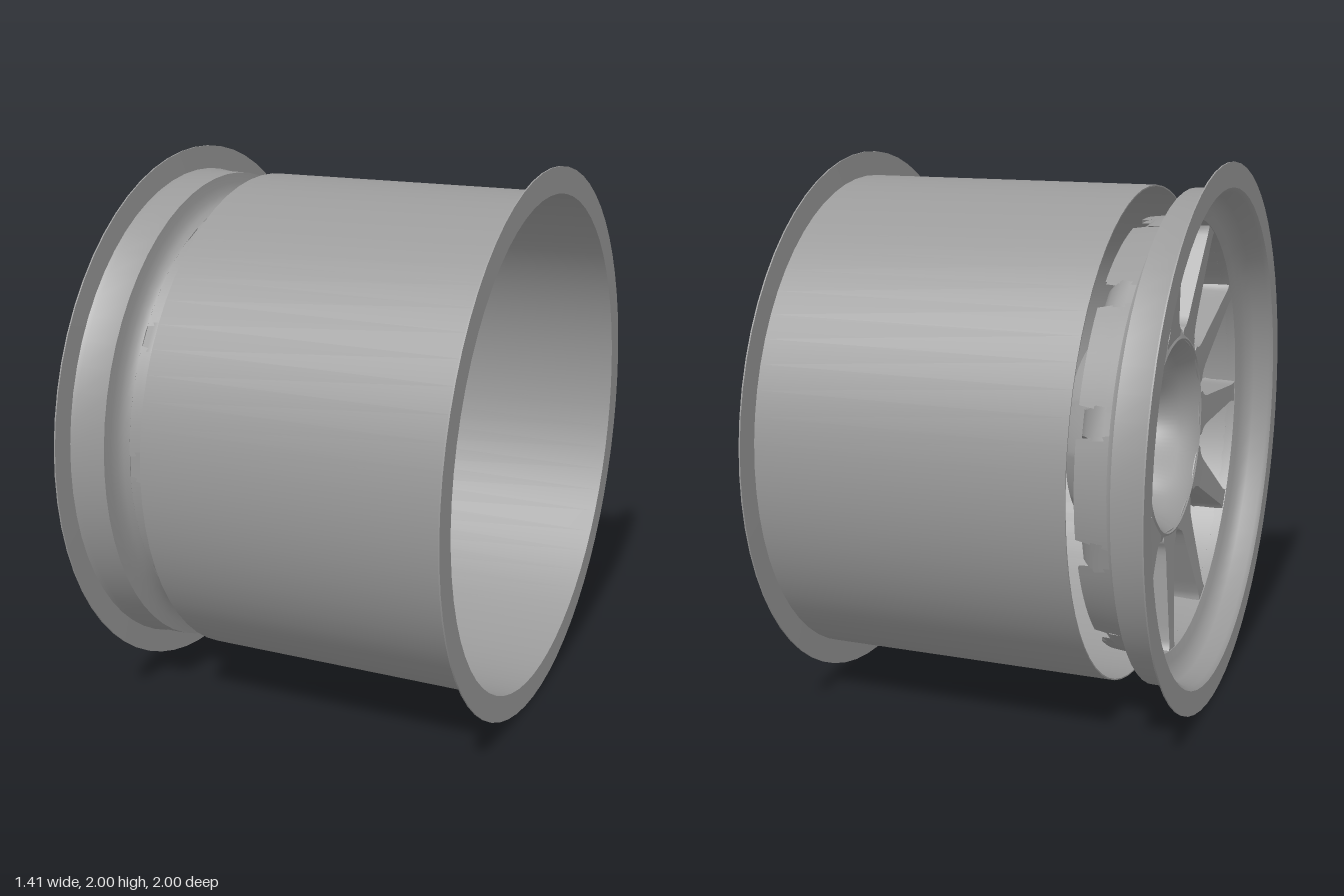
import * as THREE from 'three';
import { toCreasedNormals } from 'three/addons/utils/BufferGeometryUtils.js';

const SPOKES = 11, BOLTS = 5;
const PITCH = 2 * Math.PI / SPOKES;
const mat = new THREE.MeshStandardMaterial({ color: 0x9a9a9a, side: THREE.DoubleSide });

function add(parent, name, geometry) {
  const mesh = new THREE.Mesh(geometry, mat);
  mesh.name = name;
  parent.add(mesh);
  return mesh;
}

// Lathe about the x axis; profile points are [radius, x].
// The rule may return a new [radius, angle] for each vertex.
function turned(profile, segments, rule, start = 0, length = 2 * Math.PI) {
  const points = profile.map(([r, x]) => new THREE.Vector2(r, x));
  const g = new THREE.LatheGeometry(points, segments, start, length);
  g.rotateZ(-Math.PI / 2);
  if (rule) {
    const p = g.attributes.position;
    for (let i = 0; i < p.count; i++) {
      const x = p.getX(i), y = p.getY(i), z = p.getZ(i);
      const [r, a] = rule(Math.hypot(y, z), Math.atan2(y, z), x);
      p.setXYZ(i, x, r * Math.sin(a), r * Math.cos(a));
    }
  }
  return toCreasedNormals(g, 0.7);
}

// Linear interpolation through [position, value] pairs
function sample(table, t) {
  for (let i = 1; i < table.length; i++) {
    const [a, va] = table[i - 1], [b, vb] = table[i];
    if (t <= b) return THREE.MathUtils.mapLinear(t, a, b, va, vb);
  }
  return table[table.length - 1][1];
}

// Tapered spoke along +z, flared into the hub and the rim
function spokeGeometry() {
  const stations = [0.35, 0.375, 0.39, 0.4, 0.415, 0.44, 0.5, 0.6, 0.7, 0.76, 0.785, 0.805];
  const halfWidth = [[0.35, 0.1], [0.375, 0.11], [0.39, 0.105], [0.4, 0.09], [0.415, 0.08],
    [0.44, 0.072], [0.76, 0.042], [0.785, 0.045], [0.805, 0.058]];
  const front = [[0.35, -0.535], [0.5, -0.545], [0.75, -0.565], [0.805, -0.57]];
  const back = [[0.35, -0.33], [0.5, -0.36], [0.7, -0.4], [0.76, -0.42], [0.785, -0.44], [0.805, -0.47]];
  const g = new THREE.BoxGeometry(1, 1, 1, 3, 1, stations.length - 1);
  const p = g.attributes.position;
  for (let i = 0; i < p.count; i++) {
    const depth = p.getX(i) + 0.5;
    const r = stations[Math.round((p.getZ(i) + 0.5) * (stations.length - 1))];
    const x = THREE.MathUtils.lerp(sample(front, r), sample(back, r), depth);
    const y = Math.sign(p.getY(i)) * sample(halfWidth, r) * (0.8 + 0.2 * depth);
    p.setXYZ(i, x, y, r);
  }
  return toCreasedNormals(g, 0.7);
}

export function createModel() {
  const model = new THREE.Group();
  model.name = 'wheel';
  const wheel = new THREE.Group();
  wheel.name = 'wheelParts';
  wheel.position.y = 1;
  model.add(wheel);

  // Wide thin barrel with its end flange
  add(wheel, 'barrel', turned([
    [0.905, -0.42], [0.91, -0.42], [0.91, 0.698], [1, 0.7],
    [1, 0.705], [0.905, 0.705], [0.905, -0.42],
  ], 64));

  // Narrow face-side rim with flange and a stepped, filleted inner lip
  add(wheel, 'faceRim', turned([
    [0.91, -0.705], [1, -0.705], [1, -0.7], [0.914, -0.698], [0.907, -0.68],
    [0.905, -0.567], [0.87, -0.563], [0.84, -0.556], [0.82, -0.543], [0.81, -0.525],
    [0.795, -0.525], [0.797, -0.572], [0.83, -0.585], [0.865, -0.6], [0.885, -0.63],
    [0.895, -0.69], [0.91, -0.705],
  ], 64));

  // Collar behind the rim, split by a widening notch at each spoke
  const collar = turned([
    [0.795, -0.54], [0.811, -0.54], [0.806, -0.5], [0.796, -0.41],
    [0.784, -0.41], [0.795, -0.54],
  ], 12, (r, a, x) => {
    const notch = THREE.MathUtils.mapLinear(x, -0.54, -0.41, 0.042, 0.07);
    return [r, a * (1 - 2 * notch / PITCH)];
  }, -PITCH / 2, PITCH);

  // Spokes, each followed by its collar section
  const spoke = spokeGeometry();
  for (let i = 0; i < SPOKES; i++) {
    add(wheel, 'spoke', spoke).rotation.x = -i * PITCH;
    add(wheel, 'rimCollar', collar).rotation.x = -(i + 0.5) * PITCH;
  }

  // Hub: eleven-sided outside, round mounting pad, bowl scalloped around the bolts
  add(wheel, 'hub', turned([
    [0.36, -0.54], [0.39, -0.53], [0.39, -0.34], [0.33, -0.22], [0, -0.22],
    [0, -0.275], [0.235, -0.275], [0.26, -0.3], [0.285, -0.38], [0.315, -0.47],
    [0.345, -0.525], [0.36, -0.54],
  ], 110, (r, a, x) => {
    if (r > 0.37) {
      const d = a - Math.round(a / PITCH) * PITCH;
      return [r * 1.015 * Math.cos(PITCH / 2) / Math.cos(d), a];
    }
    const scallop = x < -0.27 && r > 0.2 ? Math.max(0, x + 0.47) * 0.7 : 0;
    return [r * (1 + scallop * Math.cos(BOLTS * a)), a];
  }));

  // Wheel bolts on the bowl floor
  const washer = new THREE.CylinderGeometry(0.04, 0.04, 0.02, 20).rotateZ(Math.PI / 2);
  const head = new THREE.CylinderGeometry(0.03, 0.033, 0.05, 6).rotateZ(Math.PI / 2);
  for (let i = 0; i < BOLTS; i++) {
    const bolt = new THREE.Group();
    bolt.name = 'bolt';
    const a = i * 2 * Math.PI / BOLTS;
    bolt.position.set(-0.28, 0.215 * Math.sin(a), 0.215 * Math.cos(a));
    add(bolt, 'boltWasher', washer);
    add(bolt, 'boltHead', head).position.x = -0.03;
    wheel.add(bolt);
  }
  return model;
}
